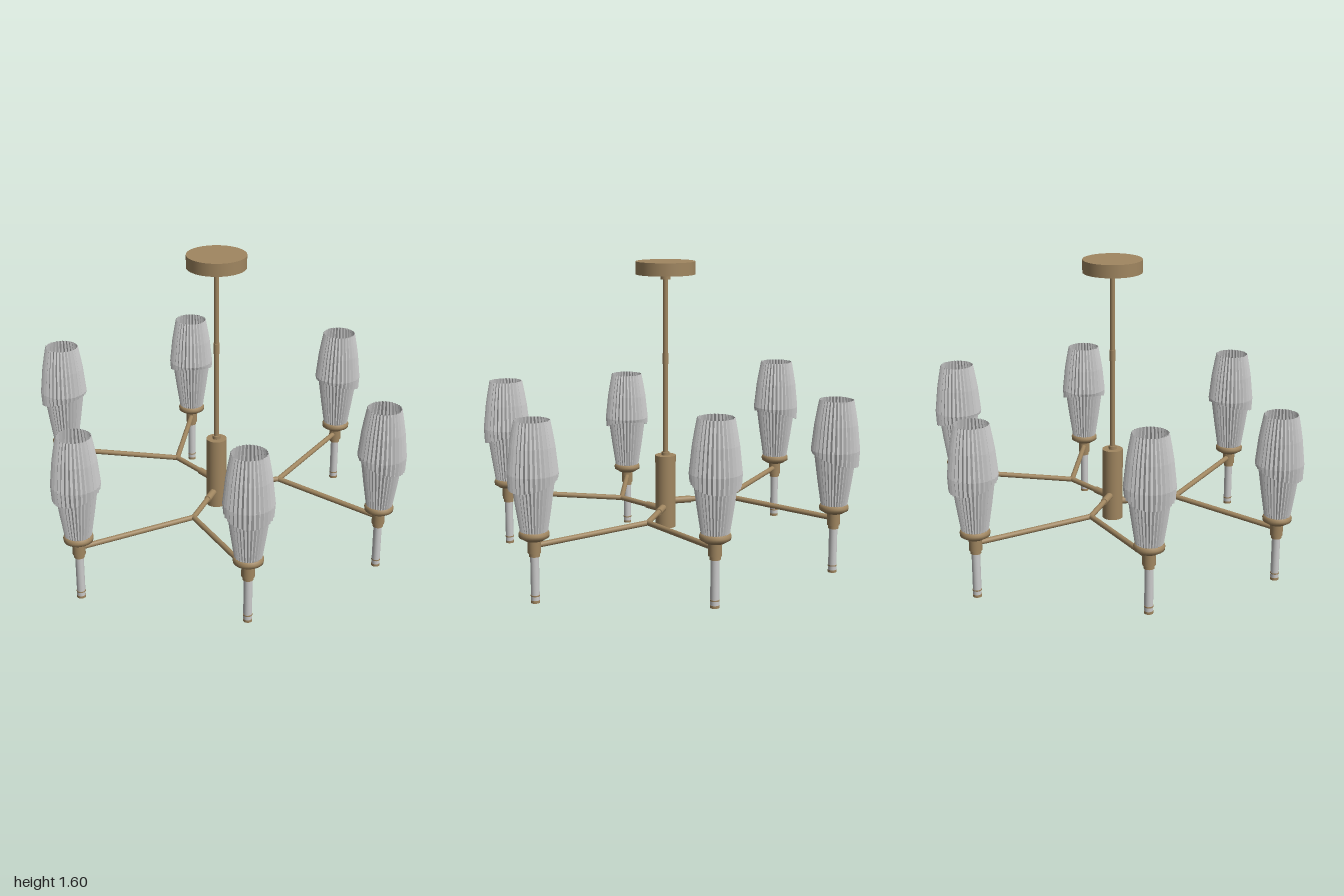
import * as THREE from 'three';

const brass = new THREE.MeshStandardMaterial({ color: 0xa08660 });
brass.name = 'brass';
const glass = new THREE.MeshStandardMaterial({ color: 0xcacaca, side: THREE.DoubleSide });
glass.name = 'glass';

function add(parent, name, geometry, material) {
  const mesh = new THREE.Mesh(geometry, material);
  mesh.name = name;
  parent.add(mesh);
  return mesh;
}

// Upright cylinder between two heights
function post(parent, name, r, y0, y1, material = brass, sides = 32) {
  const mesh = add(parent, name, new THREE.CylinderGeometry(r, r, y1 - y0, sides), material);
  mesh.position.y = (y0 + y1) / 2;
  return mesh;
}

// Straight rod between two points
function rod(parent, name, a, b, r) {
  const mesh = add(parent, name, new THREE.CylinderGeometry(r, r, a.distanceTo(b), 16), brass);
  mesh.position.copy(a).add(b).multiplyScalar(0.5);
  mesh.quaternion.setFromUnitVectors(new THREE.Vector3(0, 1, 0), b.clone().sub(a).normalize());
}

const lathe = (points, sides) =>
  new THREE.LatheGeometry(points.map(([r, y]) => new THREE.Vector2(r, y)), sides);

// Pleated glass shell; the bottom edge dips by `tilt` on its outward (+x) side
function pleated(points, tilt) {
  const pleats = 32;
  const geo = lathe(points, pleats * 2);
  const p = geo.attributes.position;
  const rows = points.length;
  for (let i = 0; i < p.count; i++) {
    const column = Math.floor(i / rows), row = i % rows;
    const x = p.getX(i), z = p.getZ(i);
    if (row === 0) p.setY(i, p.getY(i) - tilt * x / Math.hypot(x, z));
    const k = column % 2 ? 0.93 : 1;
    p.setX(i, x * k);
    p.setZ(i, z * k);
  }
  const faceted = geo.toNonIndexed();
  faceted.computeVertexNormals();
  return faceted;
}

const lowerShadeGeo = pleated([[0.066, 0.35], [0.086, 0.48], [0.106, 0.625]], 0);
const upperShadeGeo = pleated(
  [[0.118, 0.588], [0.122, 0.635], [0.108, 0.765], [0.097, 0.83], [0.086, 0.888]], 0.033);
const cupGeo = lathe([[0, 0.312], [0.048, 0.312], [0.056, 0.318], [0.072, 0.327],
  [0.074, 0.342], [0.068, 0.356], [0.056, 0.356], [0.054, 0.34], [0, 0.34]], 32);

// One lamp, standing on its own y = 0
function makeLamp() {
  const lamp = new THREE.Group();
  lamp.name = 'lamp';
  post(lamp, 'tubeCap', 0.022, 0, 0.013);
  post(lamp, 'lowerTube', 0.021, 0.013, 0.245, glass);
  post(lamp, 'tubeBand', 0.0225, 0.033, 0.039);
  post(lamp, 'tubeCollar', 0.026, 0.23, 0.25);
  post(lamp, 'socket', 0.032, 0.248, 0.315);
  add(lamp, 'cup', cupGeo, brass);
  post(lamp, 'innerRing', 0.034, 0.338, 0.352);
  post(lamp, 'innerTube', 0.021, 0.35, 0.39, glass);
  add(lamp, 'lowerShade', lowerShadeGeo, glass);
  add(lamp, 'upperShade', upperShadeGeo, glass);
  return lamp;
}

const polar = (r, angle, y) => new THREE.Vector3(r * Math.cos(angle), y, r * Math.sin(angle));

export function createModel() {
  const model = new THREE.Group();
  model.name = 'chandelier';

  // Ceiling canopy, stem and central hub
  post(model, 'canopy', 0.15, 1.535, 1.6, brass, 48);
  post(model, 'canopyCollar', 0.026, 1.51, 1.537);
  post(model, 'stem', 0.0125, 0.6, 1.515);
  post(model, 'stemJoint', 0.0155, 1.08, 1.135);
  post(model, 'hubCollar', 0.02, 0.6, 0.622);
  post(model, 'hub', 0.053, 0.225, 0.605, brass, 40);

  // Three forked arms at stepped heights: direction, height, base of each lamp
  const arms = [
    { angle: 90, y: 0.3125, bases: [0.065, 0] },
    { angle: 210, y: 0.36, bases: [0.107, 0.05] },
    { angle: 330, y: 0.335, bases: [0.085, 0.027] },
  ];
  for (const { angle, y, bases } of arms) {
    const arm = new THREE.Group();
    arm.name = 'forkedArm';
    model.add(arm);
    const a = THREE.MathUtils.degToRad(angle);
    const fork = polar(0.335, a, y);
    rod(arm, 'armSleeve', polar(0.04, a, y), polar(0.135, a, y), 0.018);
    rod(arm, 'armStem', polar(0.1, a, y), fork, 0.0135);
    const joint = add(arm, 'forkJoint', new THREE.SphereGeometry(0.0138, 16, 12), brass);
    joint.position.copy(fork);
    bases.forEach((base, i) => {
      const side = a + (i ? 1 : -1) * Math.PI / 6;
      rod(arm, 'branch', fork, polar(0.875, side, base + 0.282), 0.0135);
      const lamp = makeLamp();
      lamp.position.copy(polar(0.875, side, base));
      lamp.rotation.y = -side;
      arm.add(lamp);
    });
  }
  return model;
}
